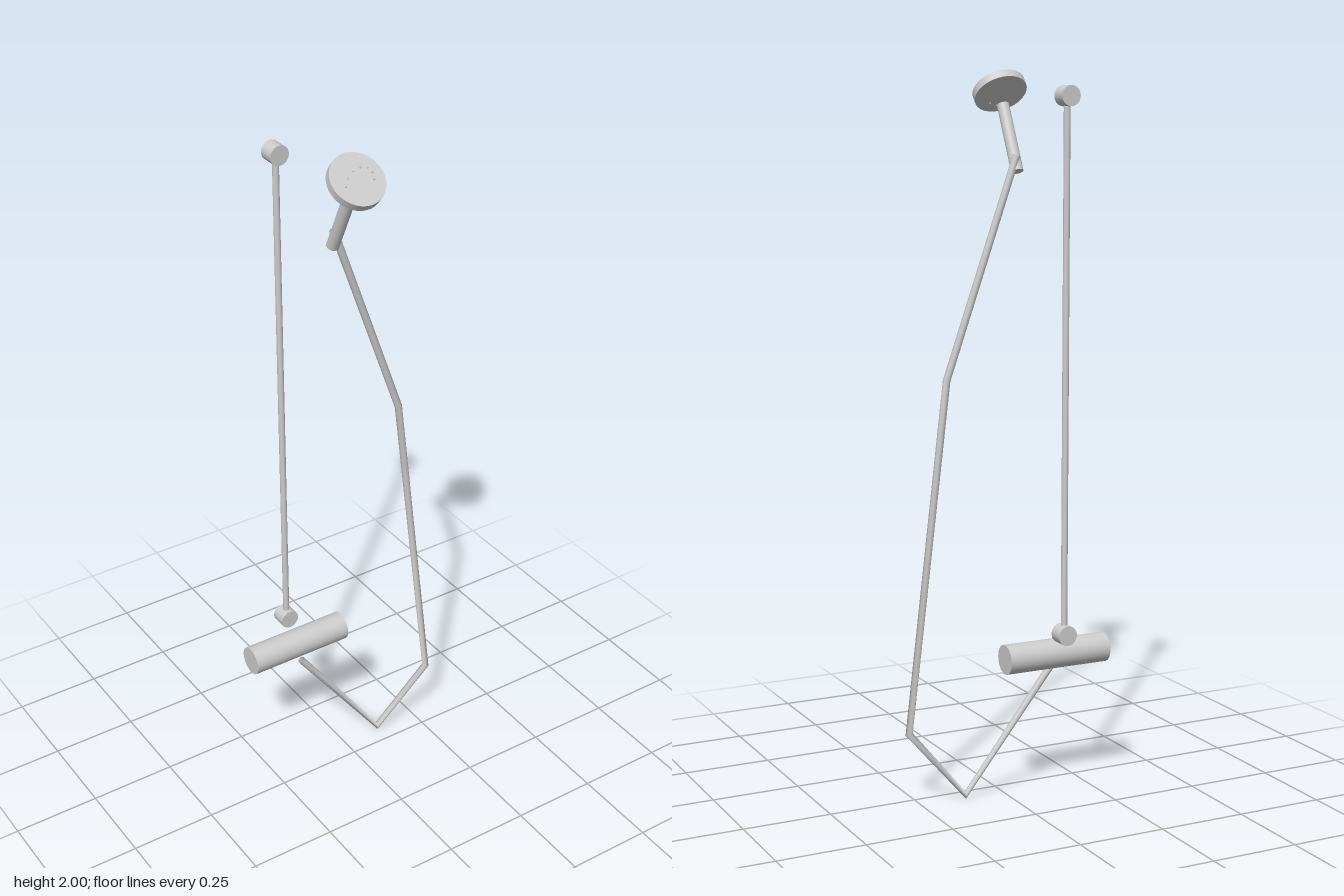
import * as THREE from 'three';

const grey = new THREE.MeshStandardMaterial({ color: 0xcccccc });
const greyOpen = new THREE.MeshStandardMaterial({ color: 0xcccccc, side: THREE.DoubleSide });

function cylinder(name, radius, length, position, rotation = [0, 0, 0], sides = 32) {
  const mesh = new THREE.Mesh(new THREE.CylinderGeometry(radius, radius, length, sides), grey);
  mesh.name = name;
  mesh.position.set(...position);
  mesh.rotation.set(...rotation);
  return mesh;
}

// Straight runs joined by sharp bends, one tube segment per run
class BentPath extends THREE.Curve {
  constructor(points) {
    super();
    this.points = points.map(p => new THREE.Vector3(...p));
  }
  getPoint(t, target = new THREE.Vector3()) {
    const last = this.points.length - 1;
    const i = Math.min(Math.floor(t * last + 1e-6), last - 1);
    return target.lerpVectors(this.points[i], this.points[i + 1], t * last - i);
  }
  getPointAt(u, target) {
    return this.getPoint(u, target);
  }
  getTangentAt(u, target = new THREE.Vector3()) {
    const last = this.points.length - 1;
    const i = Math.round(u * last);
    const run = k => this.points[k + 1].clone().sub(this.points[k]).normalize();
    return target.copy(run(Math.max(i - 1, 0))).add(run(Math.min(i, last - 1))).normalize();
  }
}

export function createModel() {
  const group = new THREE.Group();
  group.name = 'handShowerSet';
  const railX = -0.131, headX = -0.075;

  // Rail with its two wall mounts
  group.add(cylinder('rail', 0.009, 1.46, [railX, 1.198, -0.164], [0, 0, 0], 16));
  for (const [name, y] of [['upperMount', 1.928], ['lowerMount', 0.468]]) {
    group.add(cylinder(name, 0.0275, 0.045, [railX, y, -0.1655], [Math.PI / 2, 0, 0]));
  }

  // Mixer valve bar
  group.add(cylinder('mixerBar', 0.0415, 0.31, [-0.13, 0.402, -0.1125], [0, 0, Math.PI / 2]));

  // Hose from the mixer to the handle
  const path = new BentPath([
    [-0.131, 0.357, -0.085],
    [0.118, 0.01, -0.054],
    [0.275, 0.2, -0.024],
    [0.15, 1.17, -0.009],
    [-0.073, 1.77, 0.014],
  ]);
  const hose = new THREE.Mesh(new THREE.TubeGeometry(path, 4, 0.0105, 8), greyOpen);
  hose.name = 'hose';
  group.add(hose);

  // Hand shower: handle and tilted head
  group.add(cylinder('handle', 0.017, 0.2, [headX, 1.817, 0.0565], [0.45, 0, 0], 24));
  group.add(cylinder('showerHead', 0.0745, 0.023, [headX, 1.944, 0.12], [0.69, 0, 0], 48));

  // Ring of spray nozzles standing upright
  const nozzles = new THREE.Group();
  nozzles.name = 'nozzles';
  for (let i = 0; i < 12; i++) {
    const a = (i / 12) * Math.PI * 2;
    const spot = [headX + 0.041 * Math.cos(a), 1.946 + 0.041 * Math.sin(a), 0.138];
    nozzles.add(cylinder('nozzle', 0.002, 0.004, spot, [Math.PI / 2, 0, 0], 8));
  }
  group.add(nozzles);

  return group;
}
